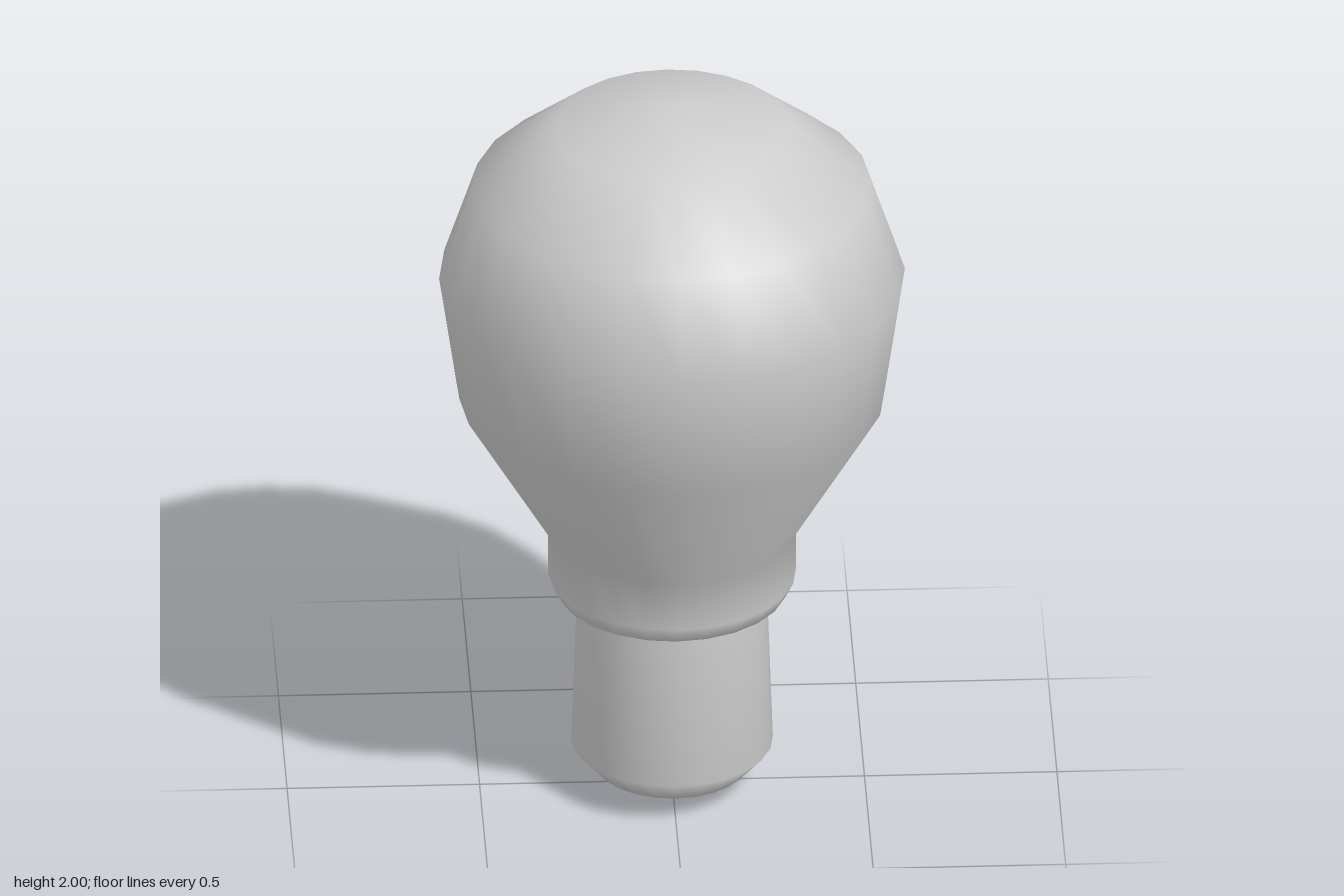
import * as THREE from 'three';

const SIDES = 24;

// Smooth surface of revolution; profile runs bottom to top as [radius, height].
function turned(name, profile, material) {
  const points = profile.map(([r, y]) => new THREE.Vector2(r, y));
  const geometry = new THREE.LatheGeometry(points, SIDES);
  // Poles get straight up/down normals so the caps shade smoothly.
  const { position, normal } = geometry.attributes;
  for (let i = 0; i < position.count; i++) {
    if (Math.hypot(position.getX(i), position.getZ(i)) < 1e-5) {
      normal.setXYZ(i, 0, Math.sign(normal.getY(i)), 0);
    }
  }
  const mesh = new THREE.Mesh(geometry, material);
  mesh.name = name;
  return mesh;
}

export function createModel() {
  const group = new THREE.Group();
  group.name = 'lightBulb';
  const material = new THREE.MeshStandardMaterial({ color: 0xcccccc, side: THREE.DoubleSide });

  // Glass envelope with its collar and rounded lower lip
  group.add(turned('glassBulb', [
    [0.24, 0.55], [0.255, 0.55], [0.3, 0.575], [0.322, 0.62], [0.322, 0.755],
    [0.553, 1.145], [0.605, 1.5], [0.517, 1.765], [0.305, 1.937], [0, 2],
  ], material));

  // Slightly flared base with a rounded contact end
  group.add(turned('base', [
    [0, 0], [0.09, 0.015], [0.2, 0.055], [0.262, 0.125], [0.247, 0.56],
  ], material));

  return group;
}
